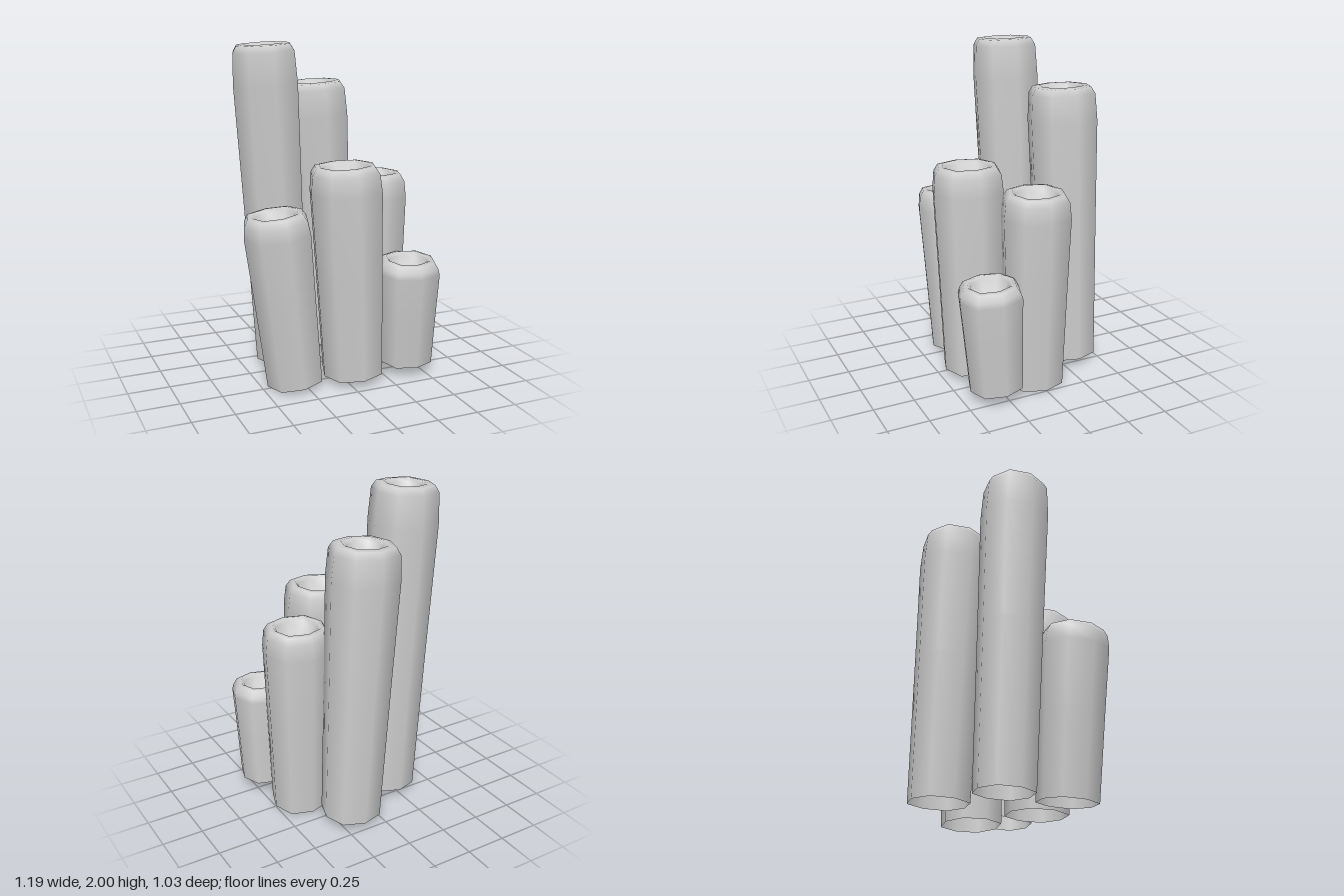
import * as THREE from 'three';

// Each tube: name, radius, hole radius, centre of the base, centre of the rim
const TUBES = [
  ['tallBackLeftTube', 0.199, 0.09, [-0.236, 0.04, -0.138], [-0.342, 1.992, -0.123]],
  ['tallBackTube', 0.205, 0.1, [0.148, 0.042, -0.325], [0.054, 1.745, -0.312]],
  ['frontCentreTube', 0.214, 0.132, [0.058, 0.042, 0.288], [0.003, 1.314, 0.285]],
  ['sideTube', 0.203, 0.123, [0.324, 0, 0], [0.326, 1.2, -0.006]],
  ['leaningFrontTube', 0.2, 0.118, [-0.3, 0.028, 0.242], [-0.412, 1.056, 0.243]],
  ['shortFrontTube', 0.188, 0.113, [0.411, 0.072, 0.298], [0.405, 0.724, 0.33]],
];

// Tapered eight-sided tube, open below, with a rounded lip and a sunken hollow on top
function tubeGeometry(r, hole, h) {
  const profile = [
    [0.85 * r, 0],
    [0.93 * r, h * 0.5],
    [r, h * 0.88],
    [0.95 * r, h - 0.045],
    [0.83 * r, h - 0.005],
    [(0.78 * r + hole) / 2, h],
    [hole, h - 0.02],
    [hole * 0.75, h - 0.08],
    [0, h - 0.1],
  ];
  const geometry = new THREE.LatheGeometry(profile.map(([x, y]) => new THREE.Vector2(x, y)), 8);
  // The diagonal corners stand out a little further than the axial ones
  const pos = geometry.attributes.position;
  for (let i = 0; i < pos.count; i++) {
    const x = pos.getX(i), z = pos.getZ(i);
    const swell = 1 + 0.06 * Math.sin(2 * Math.atan2(x, z)) ** 2;
    pos.setXYZ(i, x * swell, pos.getY(i), z * swell);
  }
  return geometry;
}

export function createModel() {
  const group = new THREE.Group();
  group.name = 'tubeCluster';
  const grey = new THREE.MeshStandardMaterial({ color: 0xcccccc, side: THREE.DoubleSide });
  grey.name = 'light grey';
  const up = new THREE.Vector3(0, 1, 0);

  for (const [name, radius, hole, base, rim] of TUBES) {
    const start = new THREE.Vector3(...base);
    const axis = new THREE.Vector3(...rim).sub(start);
    const tube = new THREE.Mesh(tubeGeometry(radius, hole, axis.length()), grey);
    tube.name = name;
    tube.position.copy(start);
    tube.quaternion.setFromUnitVectors(up, axis.normalize());
    group.add(tube);
  }
  return group;
}
